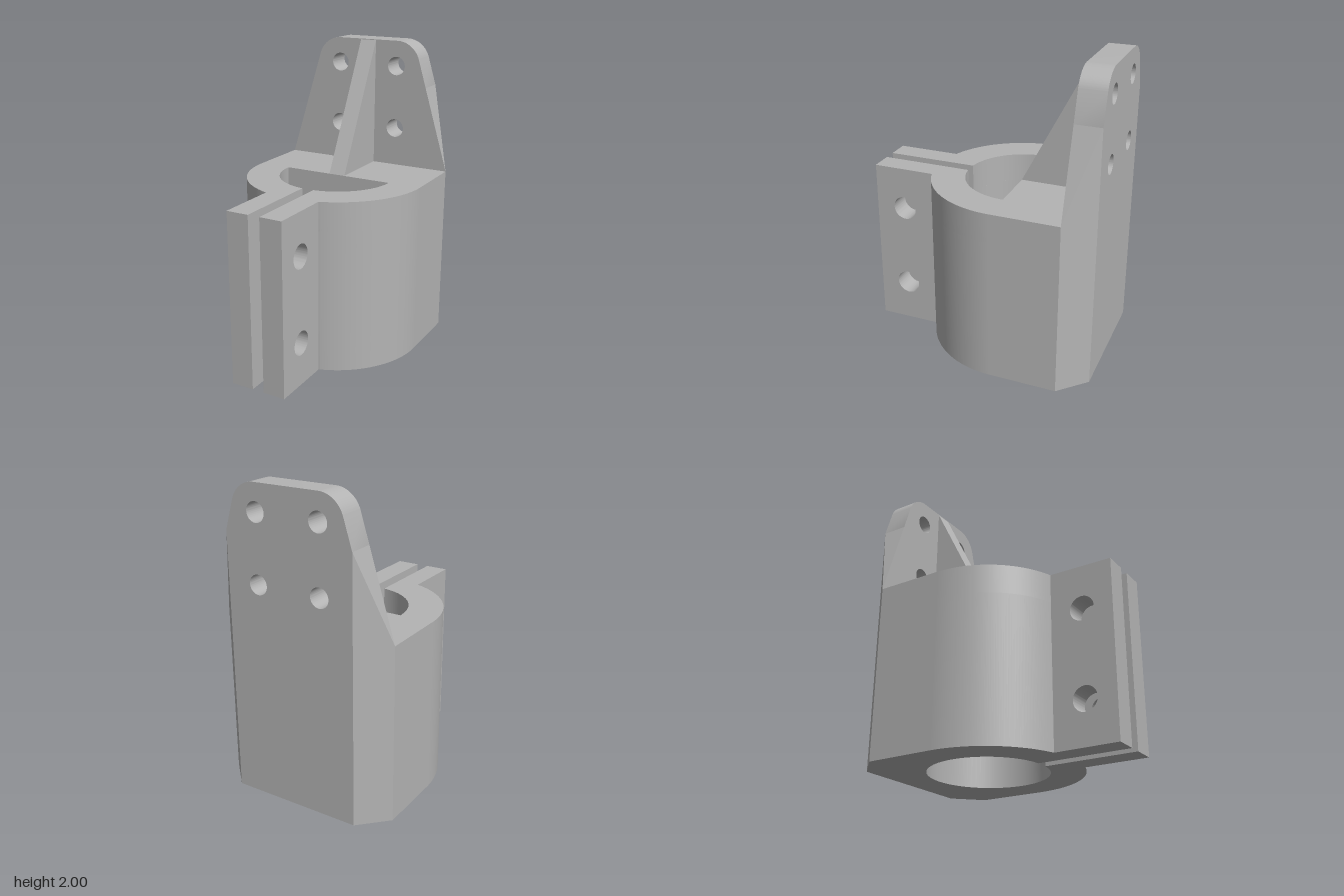
import * as THREE from 'three';
import { toCreasedNormals } from 'three/addons/utils/BufferGeometryUtils.js';
import { ConvexGeometry } from 'three/addons/geometries/ConvexGeometry.js';

const R = 0.605, BORE = 0.385;          // clamp outer and bore radius
const SLOT = 0.04, EAR = 0.19;          // inner and outer x of the ears
const TOP = 1.14, CAP = 0.95;           // clamp height, underside of the cap
const AXIS = 0.19;                      // bore axis, measured towards the back
const FACE = 0.63, BACK = 0.8, CHAMFER = 0.435;
const EAR_ROOT = Math.sqrt(R * R - EAR * EAR) - AXIS;

const extrude = (shape, depth) =>
  toCreasedNormals(new THREE.ExtrudeGeometry(shape, { depth, bevelEnabled: false, curveSegments: 40 }), 0.4);

const polygon = (pts) => new THREE.Shape(pts.map(([x, y]) => new THREE.Vector2(x, y)));

function addHole(shape, x, y, r) {
  const hole = new THREE.Path();
  hole.absarc(x, y, r, 0, Math.PI * 2, true);
  shape.holes.push(hole);
}

// Plan of the clamp; shape y points to the back
function clampPlan(halfBore) {
  const a = Math.acos(EAR / R), b = Math.acos(SLOT / BORE), s = new THREE.Shape();
  s.moveTo(SLOT, -EAR_ROOT);
  s.lineTo(EAR, -EAR_ROOT);
  s.absarc(0, AXIS, R, -a, 0, false);
  s.lineTo(R, FACE);
  s.lineTo(CHAMFER, BACK);
  s.lineTo(-CHAMFER, BACK);
  s.lineTo(-R, FACE);
  s.lineTo(-R, AXIS);
  s.absarc(0, AXIS, R, Math.PI, Math.PI + a, false);
  s.lineTo(-SLOT, -EAR_ROOT);
  if (halfBore) {
    s.absarc(0, AXIS, BORE, Math.PI + b, Math.PI, true);
    s.lineTo(BORE, AXIS);
    s.absarc(0, AXIS, BORE, 0, -b, true);
  } else {
    s.absarc(0, AXIS, BORE, Math.PI + b, -b, true);
  }
  s.closePath();
  return s;
}

export function createModel() {
  const model = new THREE.Group();
  model.name = 'clampBracket';
  const grey = new THREE.MeshStandardMaterial({ color: 0xb4b4b4 });
  grey.name = 'lightGrey';

  const add = (name, geometry) => {
    const mesh = new THREE.Mesh(geometry, grey);
    mesh.name = name;
    model.add(mesh);
  };

  // Clamp body with a round bore, half closed by a cap at the top
  add('clampBody', extrude(clampPlan(false), CAP).rotateX(-Math.PI / 2));
  add('clampCap', extrude(clampPlan(true), TOP - CAP).rotateX(-Math.PI / 2).translate(0, CAP, 0));

  // Pair of drilled ears either side of the slot
  for (const [name, x] of [['leftEar', SLOT], ['rightEar', -EAR]]) {
    const ear = polygon([[-BACK, 0], [-EAR_ROOT, 0], [-EAR_ROOT, TOP], [-BACK, TOP]]);
    for (const y of [0.285, 0.857]) addHole(ear, -0.595, y, 0.08);
    add(name, extrude(ear, EAR - SLOT).rotateY(Math.PI / 2).translate(x, 0, 0));
  }

  // Tapered mounting plate with rounded shoulders and four holes
  const slope = 0.3047, r = 0.167, phi = Math.atan(slope);
  const shoulder = TOP + (R - CHAMFER) / slope;
  const cx = R - slope * (2 - TOP) - r * Math.tan((Math.PI / 2 - phi) / 2);
  const plate = new THREE.Shape();
  plate.moveTo(-CHAMFER, TOP);
  plate.lineTo(CHAMFER, TOP);
  plate.lineTo(CHAMFER, shoulder);
  plate.absarc(cx, 2 - r, r, phi, Math.PI / 2, false);
  plate.absarc(-cx, 2 - r, r, Math.PI / 2, Math.PI - phi, false);
  plate.lineTo(-CHAMFER, shoulder);
  plate.closePath();
  for (const x of [-0.215, 0.215]) for (const y of [1.4, 1.83]) addHole(plate, x, y, 0.0625);
  add('mountingPlate', extrude(plate, BACK - FACE).translate(0, 0, -BACK));

  // Chamfered wedges that widen the plate to the full clamp width
  for (const [name, side] of [['leftPlateWedge', 1], ['rightPlateWedge', -1]]) {
    add(name, new ConvexGeometry([
      [R, TOP, FACE], [CHAMFER, TOP, FACE], [CHAMFER, TOP, BACK],
      [CHAMFER, shoulder, FACE], [CHAMFER, shoulder, BACK],
    ].map(([x, y, z]) => new THREE.Vector3(side * x, y, -z))));
  }

  // Triangular rib bracing the plate
  const rib = polygon([[AXIS, TOP], [FACE, TOP], [FACE, 1.995]]);
  add('gussetRib', extrude(rib, 0.114).rotateY(Math.PI / 2).translate(-0.057, 0, 0));

  return model;
}
